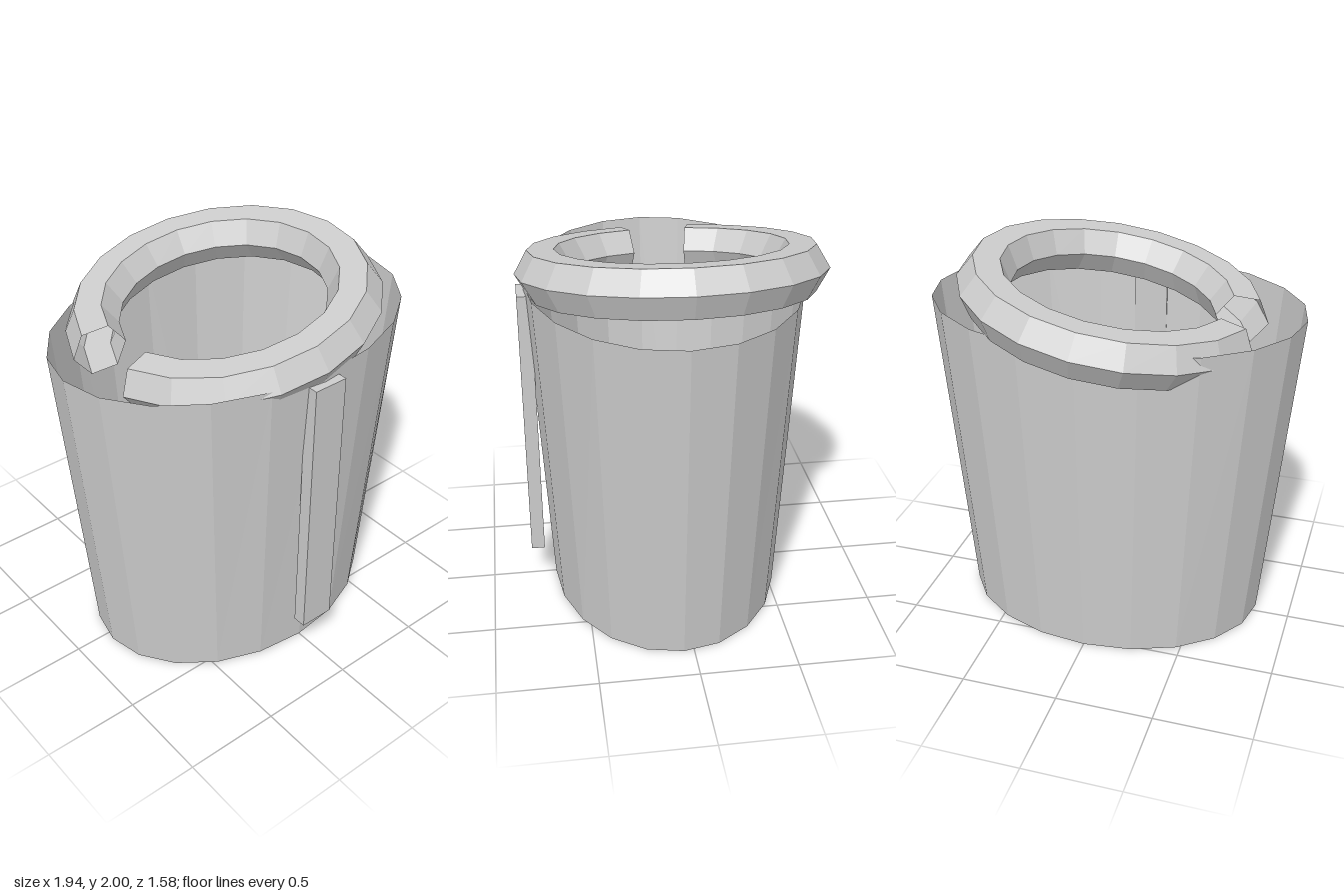
import * as THREE from 'three';

const DEG = Math.PI / 180;

export function createModel() {
  const model = new THREE.Group();
  const grey = new THREE.MeshStandardMaterial({
    color: 0xcccccc, flatShading: true, side: THREE.DoubleSide,
  });
  grey.name = 'light grey';

  const add = (name, geometry, x, y, z) => {
    const mesh = new THREE.Mesh(geometry, grey);
    mesh.name = name;
    mesh.position.set(x, y, z);
    model.add(mesh);
    return mesh;
  };

  // Oval tapered wall, open at both ends
  const height = 1.73;
  const wall = new THREE.CylinderGeometry(1, 1, height, 20, 1, true);
  const p = wall.attributes.position;
  for (let i = 0; i < p.count; i++) {
    const top = p.getY(i) > 0;
    p.setX(i, p.getX(i) * (top ? 0.968 : 0.812));
    p.setZ(i, p.getZ(i) * (top ? 0.698 : 0.605));
  }
  wall.computeVertexNormals();
  add('cupWall', wall, 0, height / 2, 0.052);

  // Upright strip standing just off the front
  add('frontStrip', new THREE.BoxGeometry(0.185, 1.465, 0.07), -0.002, 0.948, 0.75);

  // Tilted six-sided rim ring with a gap on the -x side
  const ring = new THREE.TorusGeometry(0.655, 0.135, 6, 18, 330 * DEG);
  ring.rotateZ(-165 * DEG);
  ring.rotateX(90 * DEG);
  ring.rotateZ(10 * DEG);
  add('rimRing', ring, -0.002, 1.763, 0);

  return model;
}
